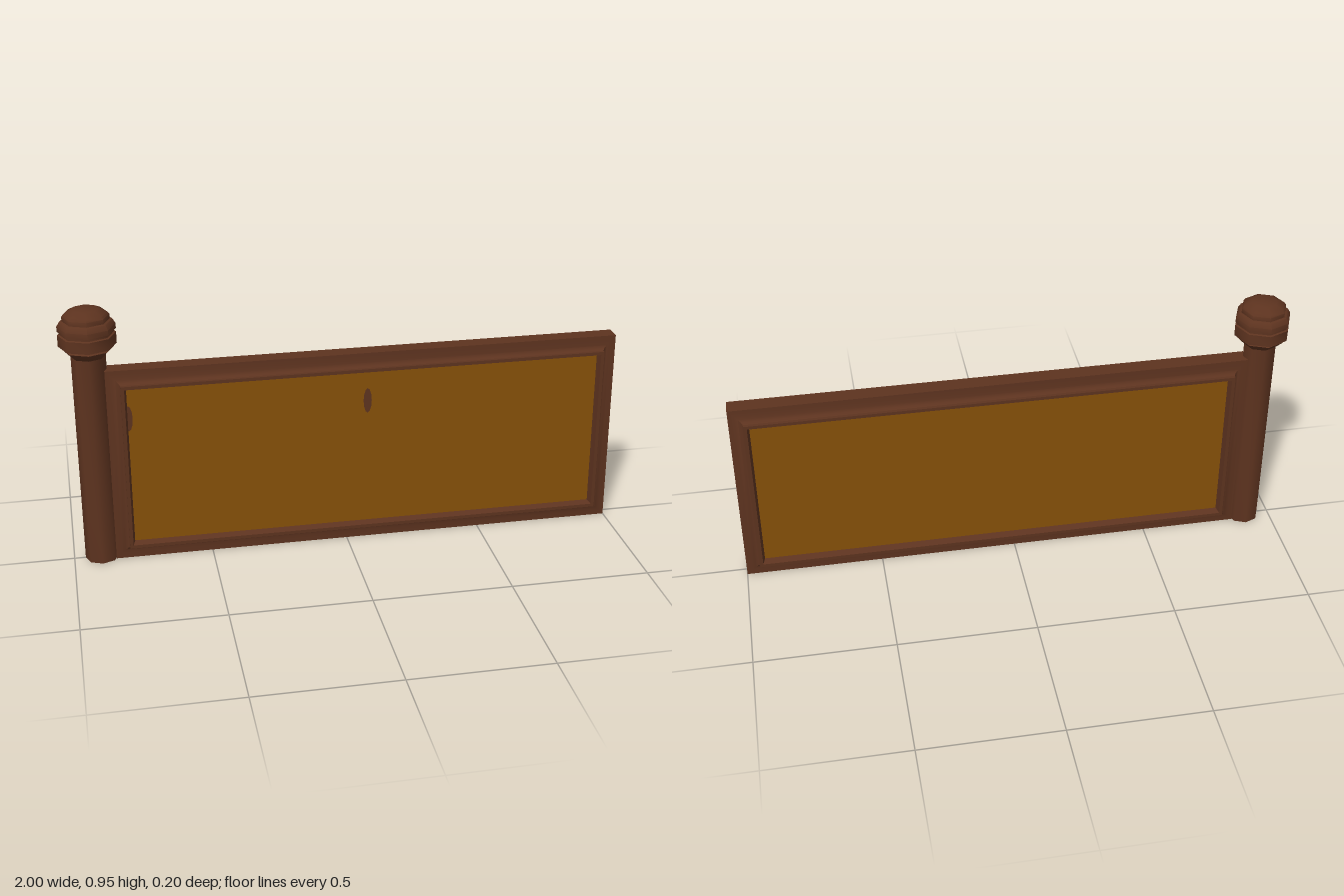
import * as THREE from 'three';
import { toCreasedNormals } from 'three/addons/utils/BufferGeometryUtils.js';

const W = 1.85, H = 0.73, CX = 0.075;

// Sweeps a profile of [inset, z] points round the rectangular outline with mitred corners
function mitredFrame(profile) {
  const corner = (k, [d, z]) => {
    const sx = k === 0 || k === 3 ? -1 : 1, sy = k < 2 ? -1 : 1;
    return [sx * (W / 2 - d), H / 2 + sy * (H / 2 - d), z];
  };
  const pos = [];
  for (let k = 0; k < 4; k++) {
    for (let i = 0; i < profile.length - 1; i++) {
      const n = (k + 1) % 4;
      const a = corner(k, profile[i]), b = corner(n, profile[i]);
      const c = corner(n, profile[i + 1]), d = corner(k, profile[i + 1]);
      pos.push(...a, ...d, ...c, ...a, ...c, ...b);
    }
  }
  const g = new THREE.BufferGeometry();
  g.setAttribute('position', new THREE.Float32BufferAttribute(pos, 3));
  return toCreasedNormals(g, 0.55);
}

export function createModel() {
  const group = new THREE.Group();
  const wood = new THREE.MeshStandardMaterial({ color: 0x5d331f });
  wood.name = 'dark wood';
  const amber = new THREE.MeshStandardMaterial({ color: 0x865008 });
  amber.name = 'amber panel';
  const add = (name, geometry, material, x = 0, y = 0, z = 0) => {
    const mesh = new THREE.Mesh(geometry, material);
    mesh.name = name;
    mesh.position.set(x, y, z);
    group.add(mesh);
    return mesh;
  };
  const lathe = (points) => toCreasedNormals(
    new THREE.LatheGeometry(points.map(([r, y]) => new THREE.Vector2(r, y)), 8), 0.85);

  // Octagonal post
  add('post', lathe([[0, 0], [0.06, 0], [0.06, 0.79], [0, 0.79]]), wood, -0.9);

  // Ringed knob on the post
  add('knob', lathe([
    [0, 0.783], [0.06, 0.783], [0.088, 0.812], [0.08, 0.82], [0.1, 0.823], [0.1, 0.864],
    [0.094, 0.867], [0.094, 0.875], [0.1, 0.877], [0.1, 0.895], [0.09, 0.912],
    [0.081, 0.914], [0.081, 0.93], [0.075, 0.938], [0.045, 0.953], [0, 0.953],
  ]), wood, -0.9);

  // Moulded frame, the same on both faces: raised bead with a cove outside it
  const half = [
    [0.07, 0.034], [0.065, 0.05], [0.062, 0.06], [0.05, 0.06], [0.05, 0.048],
    [0.045, 0.04], [0.035, 0.035], [0.02, 0.031], [0, 0.03],
  ];
  const back = half.map(([d, z]) => [d, -z]).reverse();
  add('frame', mitredFrame([...half, ...back]), wood, CX);

  // Infill panel
  add('panel', new THREE.BoxGeometry(W - 0.134, H - 0.134, 0.07), amber, CX, H / 2);

  // Thin dark knots on the front of the panel
  for (const x of [-0.778, CX]) {
    const knot = add('knot', new THREE.CircleGeometry(1, 12), wood, x, 0.55, 0.0365);
    knot.scale.set(0.015, 0.048, 1);
  }
  return group;
}
